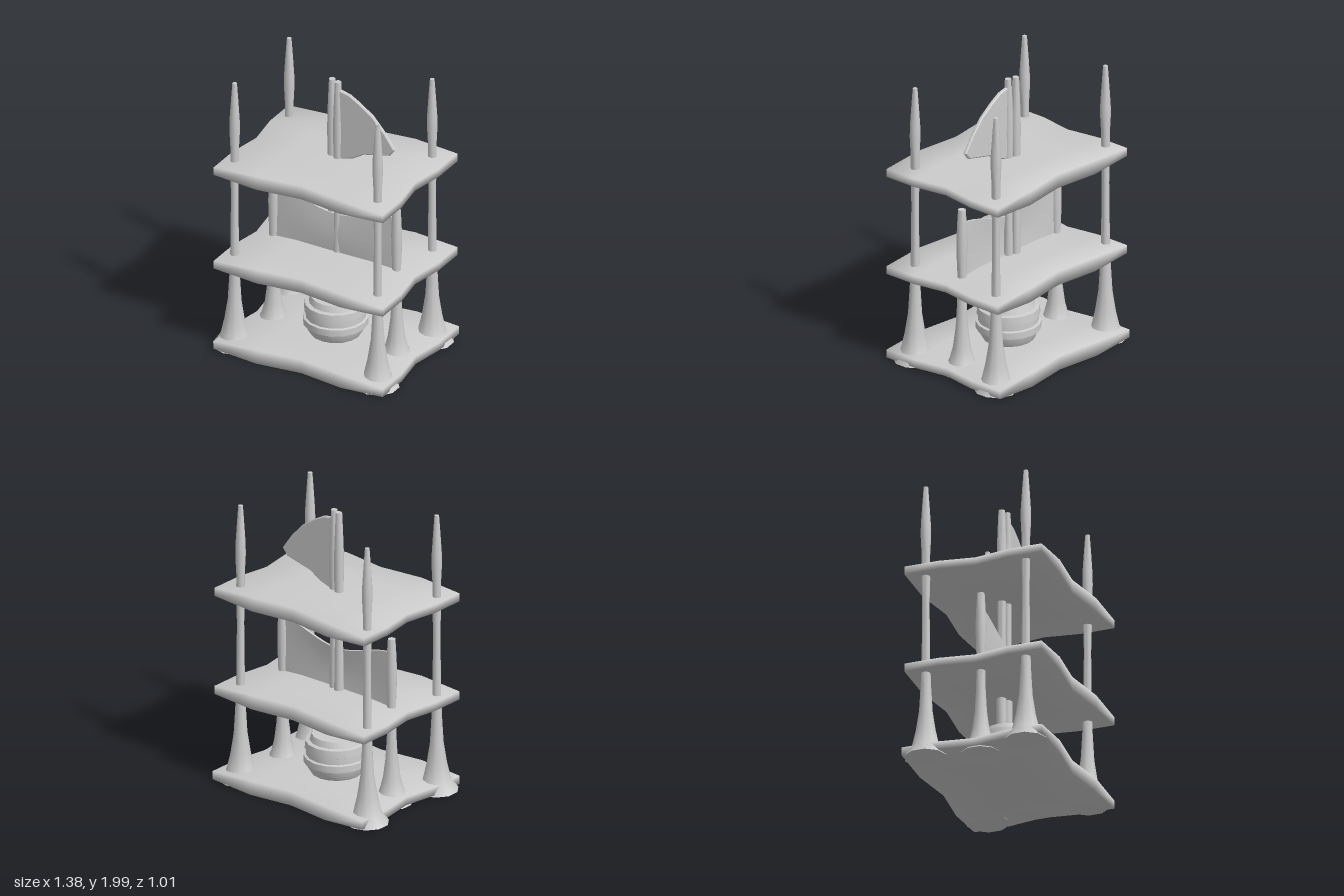
import * as THREE from 'three';
import { mergeVertices, toCreasedNormals } from 'three/addons/utils/BufferGeometryUtils.js';

const grey = new THREE.MeshStandardMaterial({ color: 0xcccccc });

function part(name, geometry, parent, x = 0, y = 0, z = 0) {
  const mesh = new THREE.Mesh(geometry, grey);
  mesh.name = name;
  mesh.position.set(x, y, z);
  parent.add(mesh);
  return mesh;
}

// Turned part from [radius, height] pairs, bottom to top
function turned(profile, sides) {
  const points = profile.map(([r, y]) => new THREE.Vector2(r, y));
  return toCreasedNormals(new THREE.LatheGeometry(points, sides), 0.8);
}

// Plank with pinched sides, thinning toward its two ends
function plank(halfDepth) {
  let g = new THREE.BoxGeometry(2, 2, 2, 4, 1, 4);
  g.deleteAttribute('normal');
  g.deleteAttribute('uv');
  g = mergeVertices(g);
  const p = g.attributes.position;
  for (let i = 0; i < p.count; i++) {
    const u = p.getX(i), v = p.getY(i), w = p.getZ(i);
    const pinchX = Math.max(0, 1 - 2 * Math.abs(w)) * 0.04;
    const pinchZ = Math.max(0, 1 - 2 * Math.abs(u)) * 0.04;
    const thick = Math.abs(u) > 0.75 ? 0.029 : 0.05;
    p.setXYZ(i, u * (0.65 - pinchX), v * thick, w * (halfDepth - pinchZ));
  }
  g.computeVertexNormals();
  return g;
}

export function createModel() {
  const model = new THREE.Group();
  model.name = 'threeDeckTower';

  // Three decks
  part('lowerDeck', plank(0.5), model, 0.02, 0.06, 0);
  part('middleDeck', plank(0.49), model, 0.02, 0.67, 0.01);
  part('upperDeck', plank(0.49), model, 0.02, 1.38, 0.01);

  // Corner posts with flared feet and pointed tops
  const cornerPost = turned([[0, 0.02], [0.148, 0.02], [0.095, 0.1], [0.07, 0.21], [0.047, 0.36],
    [0.036, 0.55], [0.03, 0.72], [0.025, 1.15], [0.03, 1.33], [0.029, 1.5], [0.036, 1.64],
    [0.035, 1.72], [0.026, 1.86], [0.016, 2], [0, 2]], 10);
  for (const x of [-0.553, 0.547]) {
    for (const z of [-0.357, 0.357]) part('cornerPost', cornerPost, model, x, 0, z);
  }

  // Shorter posts holding the cloth
  const sidePost = turned([[0, 0.02], [0.14, 0.02], [0.083, 0.11], [0.06, 0.2], [0.042, 0.34],
    [0.033, 0.5], [0.03, 0.72], [0.035, 0.85], [0.037, 0.97], [0.033, 1.08], [0.026, 1.2], [0, 1.2]], 10);
  for (const x of [-0.463, 0.483]) part('sidePost', sidePost, model, x, 0, 0);

  // Pair of central mast poles
  const mast = turned([[0, 0.3], [0.036, 0.3], [0.035, 0.6], [0.032, 0.8], [0.028, 1.1], [0.03, 1.35],
    [0.034, 1.6], [0.033, 1.72], [0.028, 1.86], [0.022, 2], [0, 2]], 10);
  part('frontMast', mast, model, 0.028, 0, -0.008);
  part('backMast', mast, model, -0.028, 0, -0.026);

  // Cloth panel with a sagging top edge
  const cloth = new THREE.BoxGeometry(0.946, 1, 0.016, 16, 6, 1);
  const cp = cloth.attributes.position;
  for (let i = 0; i < cp.count; i++) {
    const t = cp.getX(i) / 0.473, v = cp.getY(i) + 0.5;
    const top = 1.0 + 0.1 * (1 - Math.cos(Math.PI * t)) / 2;
    cp.setY(i, 0.67 + v * (top - 0.67));
    cp.setZ(i, cp.getZ(i) + 0.012 * Math.sin(Math.PI * v) * (1 - t * t));
  }
  cloth.computeVertexNormals();
  part('clothPanel', cloth, model, 0.01, 0, 0);

  // Sail-shaped flag
  const outline = new THREE.Shape();
  outline.moveTo(0.03, 1.43);
  outline.lineTo(0.07, 1.435);
  outline.lineTo(0.15, 1.46);
  outline.lineTo(0.23, 1.51);
  outline.lineTo(0.43, 1.558);
  outline.lineTo(0.465, 1.605);
  outline.lineTo(0.39, 1.71);
  outline.lineTo(0.3, 1.81);
  outline.lineTo(0.2, 1.88);
  outline.lineTo(0.12, 1.925);
  outline.lineTo(0.03, 1.945);
  const flag = new THREE.ExtrudeGeometry(outline, { depth: 0.014, bevelEnabled: true,
    bevelThickness: 0.007, bevelSize: 0.008, bevelOffset: -0.005, bevelSegments: 1 });
  part('flag', toCreasedNormals(flag, 0.6), model, 0, 0, -0.015);

  // Barrel with raised hoops
  const barrel = turned([[0, 0.1], [0.165, 0.1], [0.19, 0.14], [0.203, 0.185], [0.22, 0.185], [0.22, 0.232],
    [0.203, 0.237], [0.202, 0.28], [0.213, 0.285], [0.208, 0.338], [0.18, 0.343], [0.165, 0.385], [0, 0.385]], 16);
  part('barrel', barrel, model, 0.015, 0, 0);

  return model;
}
